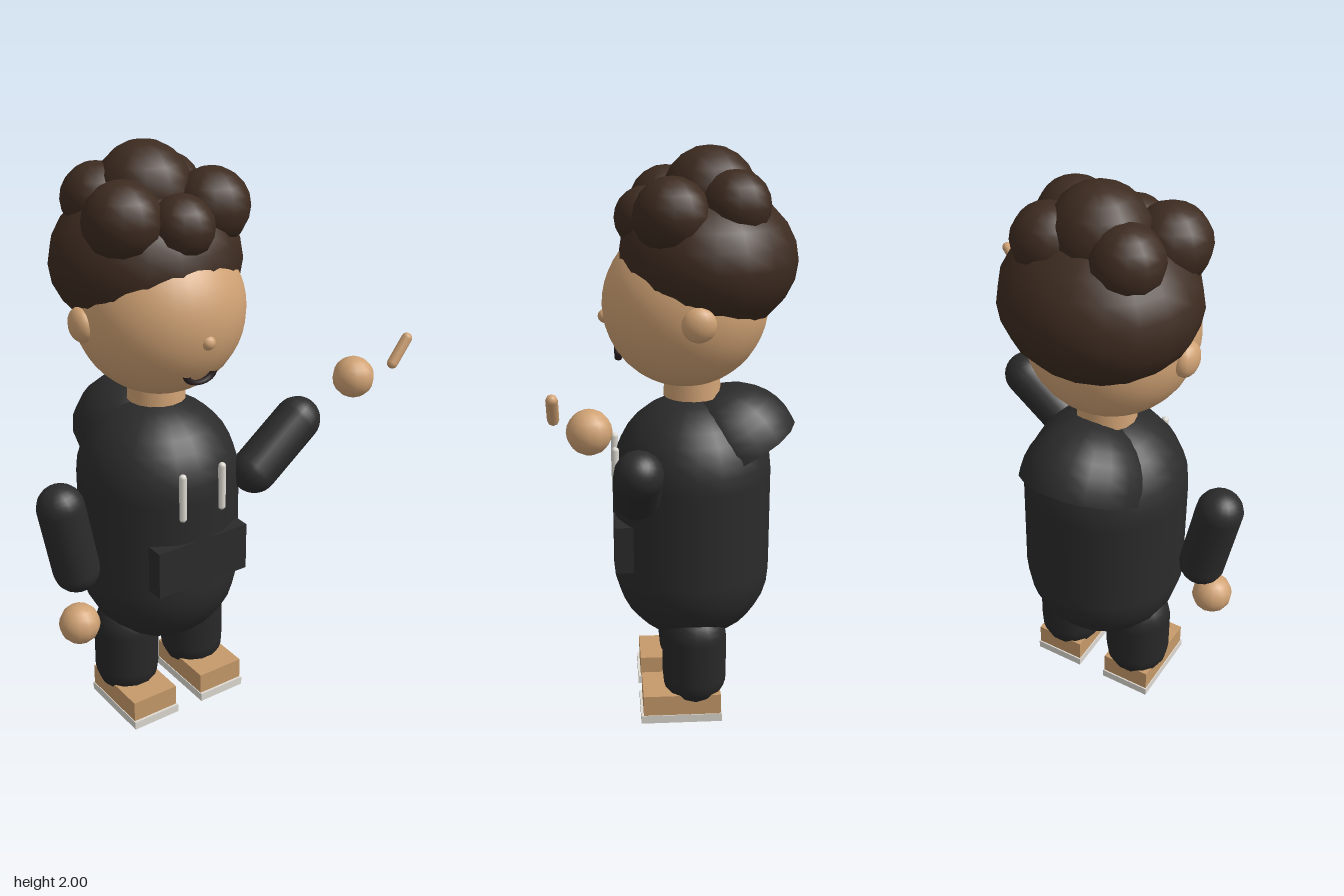
import * as THREE from 'three';

const mat = (name, color, side = THREE.FrontSide) => {
  const m = new THREE.MeshStandardMaterial({ color, side });
  m.name = name;
  return m;
};

export function createModel() {
  const root = new THREE.Group();
  root.name = 'boyInHoodie';
  const skin = mat('skin', 0xd0a274);
  const hair = mat('hair', 0x3d2b20);
  const cloth = mat('hoodieBlack', 0x2b2b2c, THREE.DoubleSide);
  const trousers = mat('trouserBlack', 0x282828);
  const shoeTan = mat('shoeTan', 0xc69a6a);
  const white = mat('offWhite', 0xdedad2);
  const mouthDark = mat('mouthDark', 0x2a2020);

  // x positions are mirrored around the body's own centre line
  const CX = -0.115, CZ = -0.05;

  const add = (name, geometry, material, x, y, z) => {
    const m = new THREE.Mesh(geometry, material);
    m.name = name;
    m.position.set(x, y, z);
    root.add(m);
    return m;
  };
  const ball = (name, material, r, x, y, z, w = 24, h = 16) =>
    add(name, new THREE.SphereGeometry(r, w, h), material, x, y, z);
  const box = (name, material, w, h, d, x, y, z) =>
    add(name, new THREE.BoxGeometry(w, h, d), material, x, y, z);
  // capsule whose cap centres sit at points a and b
  const limb = (name, material, r, a, b, caps = 8, sides = 16) => {
    const p = new THREE.Vector3(...a), q = new THREE.Vector3(...b);
    const dir = q.clone().sub(p), mid = p.clone().add(q).multiplyScalar(0.5);
    const m = add(name, new THREE.CapsuleGeometry(r, dir.length(), caps, sides), material, ...mid.toArray());
    m.quaternion.setFromUnitVectors(new THREE.Vector3(0, 1, 0), dir.normalize());
    return m;
  };

  // Torso, pocket and drawstrings
  limb('torso', cloth, 0.28, [CX, 0.535, CZ], [CX, 0.88, CZ], 8, 20);
  box('pocket', cloth, 0.355, 0.17, 0.08, CX, 0.653, 0.188);
  for (const s of [-1, 1]) {
    limb('drawstring', white, 0.013, [CX + s * 0.078, 0.837, 0.22], [CX + s * 0.078, 0.985, 0.22], 4, 8);
  }

  // Folded hood, an open tilted dome behind the neck
  const hood = add('hood',
    new THREE.SphereGeometry(0.232, 18, 8, 0, Math.PI * 2, 0, Math.PI / 2), cloth, CX, 0.962, -0.2);
  hood.scale.x = 0.92;
  hood.rotation.x = 0.45;

  // Legs and shoes
  for (const s of [-1, 1]) {
    const x = CX + s * 0.142;
    limb('leg', trousers, 0.115, [x, 0.152, CZ], [x, 0.305, CZ], 8, 14);
    box('shoe', shoeTan, 0.176, 0.077, 0.276, x, 0.0675, -0.002);
    box('sole', white, 0.182, 0.03, 0.29, x, 0.015, 0);
  }

  // Lowered arm and raised, pointing arm
  limb('rightArm', cloth, 0.08, [-0.52, 0.88, -0.005], [-0.473, 0.633, -0.005]);
  ball('rightHand', skin, 0.07, -0.497, 0.452, 0.045, 12, 10);
  limb('leftArm', cloth, 0.08, [0.15, 0.888, 0.152], [0.333, 1.032, 0.152]);
  ball('leftHand', skin, 0.07, 0.443, 1.215, 0.302, 12, 10);
  limb('pointingFinger', skin, 0.018, [0.518, 1.28, 0.405], [0.575, 1.356, 0.405], 4, 8);

  // Neck, head and face
  add('neck', new THREE.CylinderGeometry(0.092, 0.1, 0.12, 16), skin, CX, 1.22, CZ);
  ball('head', skin, 0.281, CX, 1.48, -0.025, 32, 24);
  for (const s of [-1, 1]) {
    ball('ear', skin, 0.058, CX + s * 0.275, 1.468, CZ, 14, 12).scale.x = 0.65;
  }
  ball('nose', skin, 0.024, CX, 1.44, 0.246, 12, 8);
  const mouth = add('mouth', new THREE.TorusGeometry(0.05, 0.013, 8, 16, Math.PI), mouthDark, CX, 1.325, 0.203);
  mouth.rotation.z = Math.PI;
  mouth.scale.y = 0.6;

  // Hair: a flattened cap with round curls on top
  ball('hairCap', hair, 1, CX, 1.63, -0.1, 18, 12).scale.set(0.32, 0.25, 0.302);
  const curl = (r, x, y, z) => ball('curl', hair, r, x, y, z, 12, 10);
  curl(0.158, CX, 1.842, -0.105);
  curl(0.104, CX, 1.768, 0.107);
  for (const s of [-1, 1]) {
    curl(0.126, CX + s * 0.165, 1.795, 0.03);
    curl(0.116, CX + s * 0.13, 1.82, -0.178);
  }
  return root;
}
